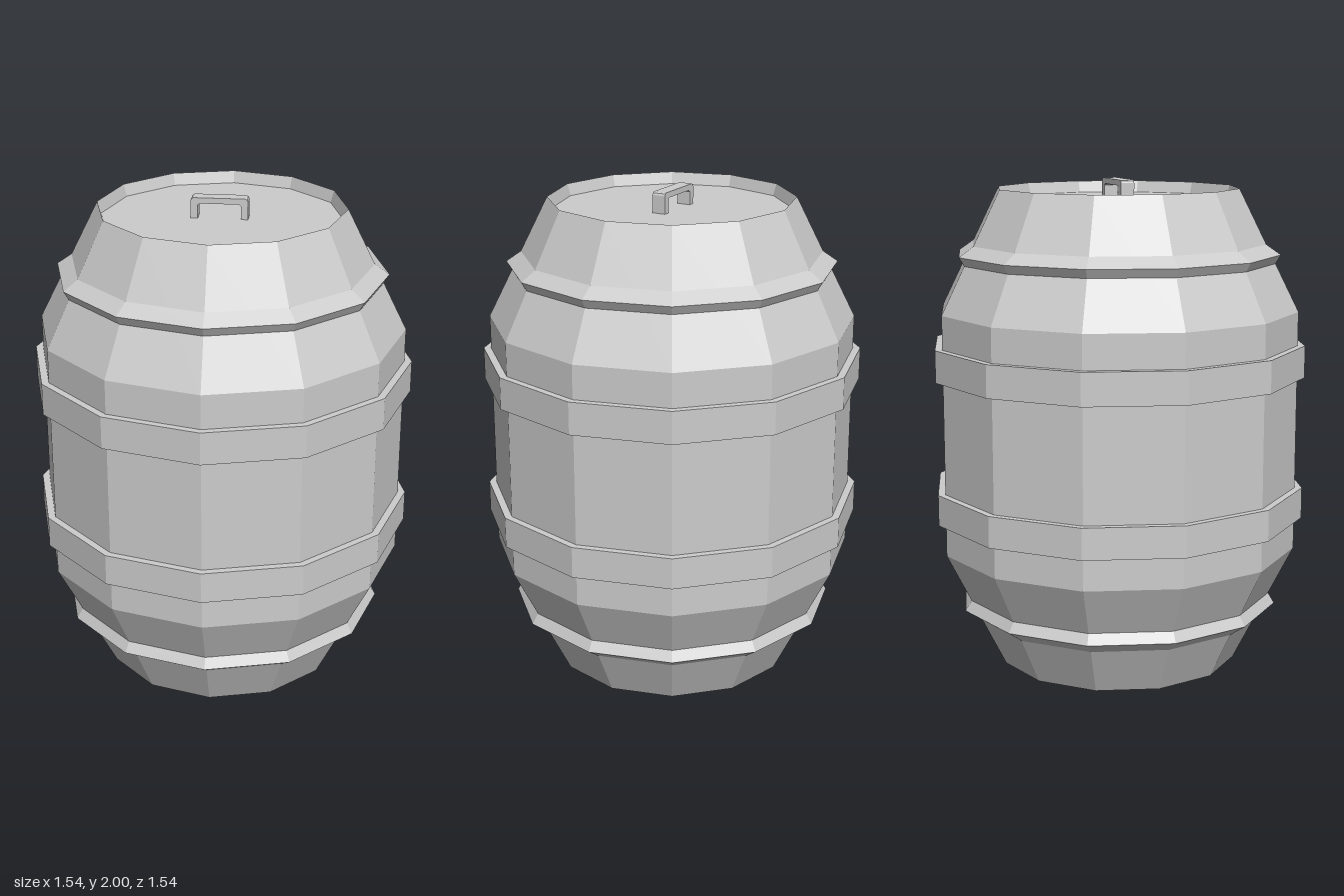
import * as THREE from 'three';

const material = new THREE.MeshStandardMaterial({ color: 0xcccccc, flatShading: true });

// Twelve-sided turned part; profile runs counter-clockwise as [radius, height]
function turned(name, profile) {
  const points = profile.map(([r, y]) => new THREE.Vector2(r, y));
  const mesh = new THREE.Mesh(new THREE.LatheGeometry(points, 12), material);
  mesh.name = name;
  return mesh;
}

export function createModel() {
  const group = new THREE.Group();
  group.name = 'barrel';
  const height = 1.965;

  // Staves with recessed bottom and lid
  group.add(turned('barrelBody', [
    [0, 0.025], [0.48, 0.025], [0.495, 0], [0.74, 0.49],
    [0.74, 1.475], [0.495, height], [0.48, 1.917], [0, 1.917],
  ]));

  // Wide flat hoops around the belly
  for (const [name, low, high] of [['lowerHoop', 0.62, 0.747], ['upperHoop', 1.207, 1.338]]) {
    group.add(turned(name, [[0.735, low], [0.77, low], [0.77, high], [0.735, high]]));
  }

  // Ridged hoops on the tapered ends, mirrored top to bottom
  const ridge = [[0.59, 0.195], [0.665, 0.247], [0.638, 0.292]];
  group.add(turned('bottomRidgeHoop', ridge));
  group.add(turned('topRidgeHoop', ridge.map(([r, y]) => [r, height - 0.02 - y + 0.005]).reverse()));

  // Bracket handle set diagonally on the lid
  const half = 0.113, top = 0.09, c = 0.012;
  const outline = new THREE.Shape([
    [-half, 0], [-half + 0.028, 0], [-half + 0.028, top - 0.03], [-half + 0.036, top - 0.023],
    [half - 0.036, top - 0.023], [half - 0.028, top - 0.03], [half - 0.028, 0], [half, 0],
    [half, top - c], [half - 0.004, top - 0.004], [half - c, top],
    [-half + c, top], [-half + 0.004, top - 0.004], [-half, top - c],
  ].map(([x, y]) => new THREE.Vector2(x, y)));
  const bracket = new THREE.ExtrudeGeometry(outline, { depth: 0.056, bevelEnabled: false });
  bracket.translate(0, 0, -0.028);
  const handle = new THREE.Mesh(bracket, material);
  handle.name = 'lidHandle';
  handle.position.set(-0.003, 1.91, -0.007);
  handle.rotation.y = -Math.PI / 3;
  group.add(handle);

  return group;
}
